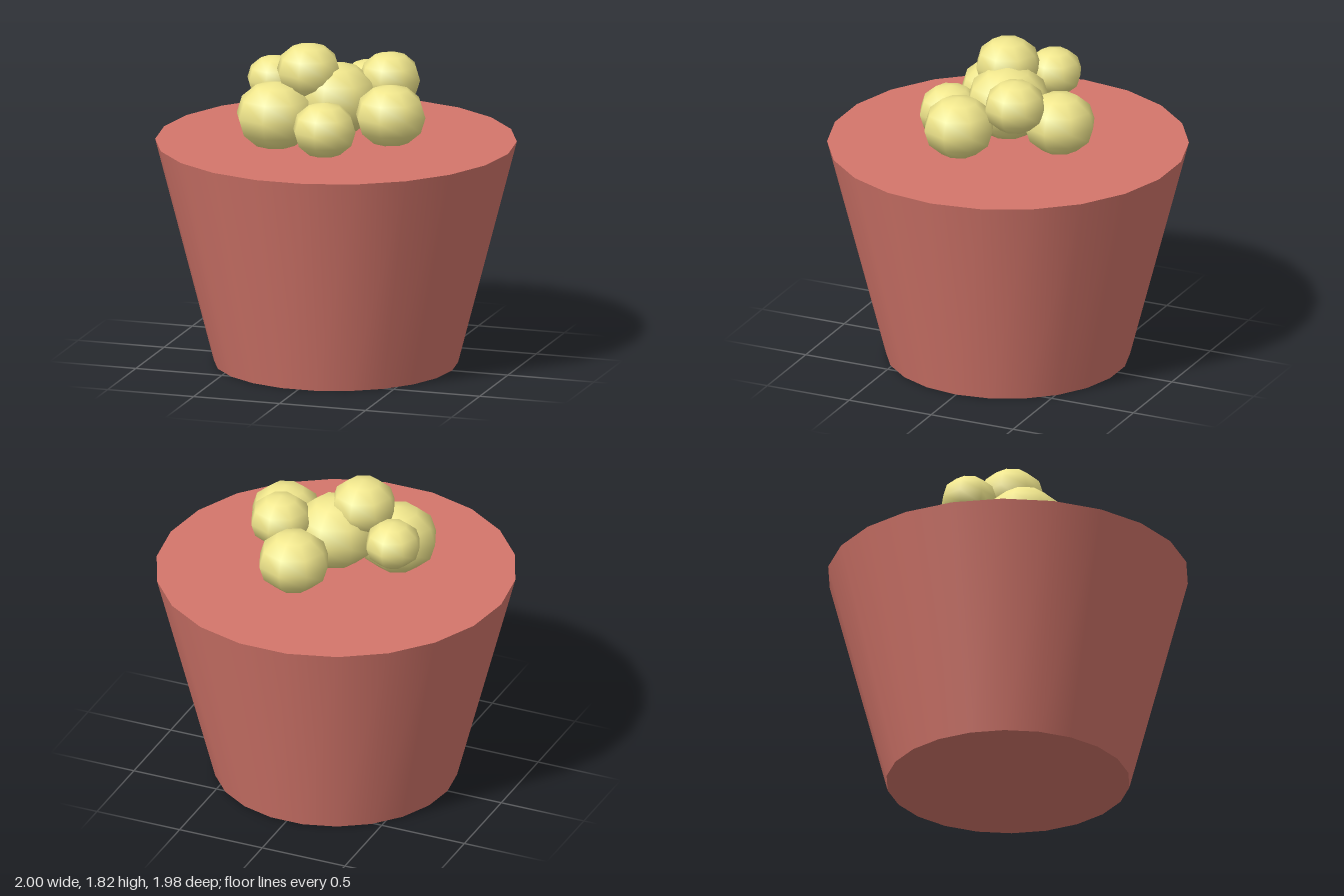
import * as THREE from 'three';

export function createModel() {
  const model = new THREE.Group();
  const clay = new THREE.MeshStandardMaterial({ color: 0xd4766b });
  const cream = new THREE.MeshStandardMaterial({ color: 0xf0e68c });

  // Solid tapered pot with 22 sides, a corner on each side of the x axis
  const height = 1.26;
  const pot = new THREE.Mesh(new THREE.CylinderGeometry(1, 0.675, height, 22, 1, false, Math.PI / 2), clay);
  pot.name = 'pot';
  pot.position.y = height / 2;
  model.add(pot);

  // Cluster of slightly squashed low-poly balls: x, y, z, radius
  const cluster = new THREE.Group();
  cluster.name = 'ballCluster';
  const ballGeometry = new THREE.SphereGeometry(1, 8, 6);
  const balls = [
    [0, 1.5, 0, 0.24],
    [0.36, 1.46, 0.13, 0.203],
    [0.04, 1.4, 0.33, 0.182],
    [-0.29, 1.425, 0.19, 0.225],
    [-0.39, 1.555, -0.1, 0.158],
    [0.095, 1.47, -0.36, 0.204],
    [0.26, 1.595, -0.165, 0.175],
    [-0.137, 1.66, 0.065, 0.185],
  ];
  balls.forEach(([x, y, z, r], i) => {
    const ball = new THREE.Mesh(ballGeometry, cream);
    ball.name = `ball${i + 1}`;
    ball.position.set(x, y, z);
    ball.scale.set(r, r * 0.855, r);
    cluster.add(ball);
  });
  model.add(cluster);

  return model;
}
